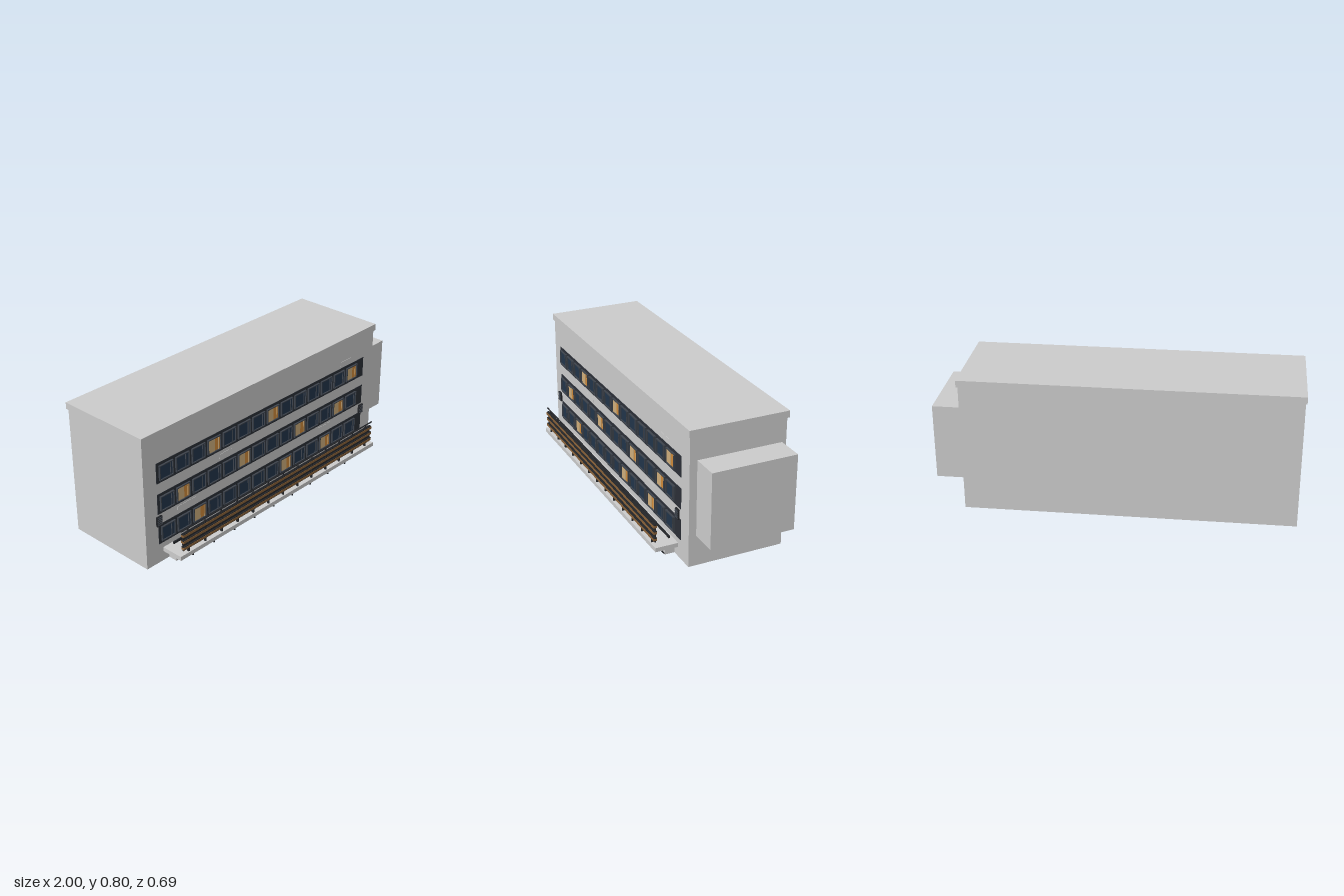
import * as THREE from 'three';

const mat = (color) => new THREE.MeshStandardMaterial({ color, side: THREE.DoubleSide });
const grey = mat(0xcccccc), band = mat(0x2b2f37), frameMat = mat(0x3d434c), glass = mat(0x22344a);
const lit = mat(0xd08a3a), curtain = mat(0xcfae7c), dark = mat(0x24262a), wood = mat(0x8a6238);

// Box given by its extents on each axis
function box(parent, name, [x0, x1], [y0, y1], [z0, z1], material) {
  const m = new THREE.Mesh(new THREE.BoxGeometry(x1 - x0, y1 - y0, z1 - z0), material);
  m.position.set((x0 + x1) / 2, (y0 + y1) / 2, (z0 + z1) / 2);
  m.name = name;
  parent.add(m);
  return m;
}

function group(parent, name) {
  const g = new THREE.Group();
  g.name = name;
  parent.add(g);
  return g;
}

// Rectangular window surround with an opening
function frameGeometry(w, h, t, depth) {
  const rect = (a, b) => [[-a, -b], [a, -b], [a, b], [-a, b]].map((p) => new THREE.Vector2(...p));
  const shape = new THREE.Shape(rect(w / 2, h / 2));
  shape.holes.push(new THREE.Path(rect(w / 2 - t, h / 2 - t).reverse()));
  return new THREE.ExtrudeGeometry(shape, { depth, bevelEnabled: false });
}

export function createModel() {
  const model = new THREE.Group();
  model.name = 'building';

  // Main masses
  box(model, 'mainBlock', [-0.993, 0.845], [0.028, 0.766], [-0.333, 0.214], grey);
  box(model, 'roofSlab', [-1, 0.853], [0.764, 0.802], [-0.342, 0.222], grey);
  box(model, 'sideBlock', [0.84, 1], [0.203, 0.63], [-0.309, 0.172], grey);
  box(model, 'plinth', [-0.837, 0.682], [0.027, 0.077], [0.174, 0.268], grey);
  box(model, 'balconySlab', [-0.877, 0.727], [0.084, 0.108], [0.21, 0.344], grey);

  // Three window bands, fourteen windows each
  const frame = frameGeometry(0.096, 0.086, 0.005, 0.011);
  const litWindows = [[2, 8, 11], [1, 5, 9, 12], [3, 7, 13]];
  [0.2, 0.38, 0.561].forEach((y, row) => {
    const rowGroup = group(model, 'windowRow');
    box(rowGroup, 'windowBand', [-0.906, 0.757], [y - 0.059, y + 0.059], [0.21, 0.2165], band);
    for (let i = 0; i < 14; i++) {
      const win = group(rowGroup, 'window');
      win.position.set(-0.842 + i * 0.1144, y, 0);
      const surround = new THREE.Mesh(frame, frameMat);
      surround.name = 'windowFrame';
      surround.position.z = 0.216;
      win.add(surround);
      const on = litWindows[row].includes(i);
      box(win, 'pane', [-0.044, 0.044], [-0.039, 0.039], [0.216, 0.22], on ? lit : glass);
      if (on) {
        box(win, 'curtain', [-0.043, 0.004], [-0.038, 0.038], [0.22, 0.222], curtain);
        box(win, 'curtainEdge', [0.03, 0.034], [-0.038, 0.038], [0.22, 0.222], curtain);
      } else {
        const x = (i + row) % 3 === 0 ? 0.02 : 0.028;
        box(win, 'mullion', [x, x + 0.003], [-0.039, 0.039], [0.22, 0.225], frameMat);
      }
    }
  });

  // Thin facade panels
  const panels = [[0.537, 0.634, 0.637], [-0.463, -0.372, 0.46], [-0.775, -0.647, 0.286], [0.353, 0.463, 0.286]];
  for (const [x0, x1, y] of panels) {
    box(model, 'facadePanel', [x0, x1], [y, y + 0.028], [0.2235, 0.225], grey);
  }

  // Louvred vents at both ends
  for (const x of [-0.926, 0.721]) {
    const vent = group(model, 'vent');
    box(vent, 'ventBox', [x, x + 0.036], [0.262, 0.318], [0.222, 0.231], dark);
    for (let i = 0; i < 5; i++) {
      const y = 0.268 + i * 0.0105;
      box(vent, 'louvre', [x + 0.003, x + 0.033], [y, y + 0.004], [0.231, 0.235], frameMat);
    }
  }

  // Balcony railing: posts, dark slats, timber boards and round handrail
  const railing = group(model, 'railing');
  for (let i = 0; i < 13; i++) {
    const x = -0.81 + i * 0.1225;
    box(railing, 'railPost', [x - 0.004, x + 0.004], [0.108, 0.234], [0.325, 0.337], dark);
    box(railing, 'handrailStem', [x - 0.002, x + 0.002], [0.232, 0.247], [0.33, 0.334], dark);
  }
  for (const y of [0.142, 0.181, 0.218]) {
    box(railing, 'timberBoard', [-0.853, 0.703], [y - 0.007, y + 0.007], [0.324, 0.343], wood);
    box(railing, 'boardCap', [-0.853, 0.703], [y + 0.007, y + 0.011], [0.324, 0.341], dark);
  }
  for (const [y0, y1] of [[0.125, 0.135], [0.154, 0.173], [0.193, 0.21], [0.226, 0.232]]) {
    box(railing, 'darkSlat', [-0.85, 0.7], [y0, y1], [0.328, 0.334], dark);
  }
  const handrail = new THREE.Mesh(new THREE.CylinderGeometry(0.004, 0.004, 1.575, 10), dark);
  handrail.name = 'handrail';
  handrail.rotation.z = Math.PI / 2;
  handrail.position.set(-0.0725, 0.248, 0.332);
  railing.add(handrail);

  // Low strip along the wall behind the railing
  box(model, 'wallStrip', [-0.83, 0.68], [0.118, 0.131], [0.238, 0.246], dark);

  // Sloped gutter and its support pegs
  const gutter = box(model, 'gutter', [-0.82, 0.676], [0.033, 0.038], [0.263, 0.285], dark);
  gutter.rotation.x = -Math.PI / 4;
  for (let i = 0; i < 9; i++) {
    const x = -0.714 + i * 0.1595;
    box(model, 'supportPeg', [x - 0.004, x + 0.004], [0, 0.03], [0.26, 0.268], dark);
  }
  return model;
}
